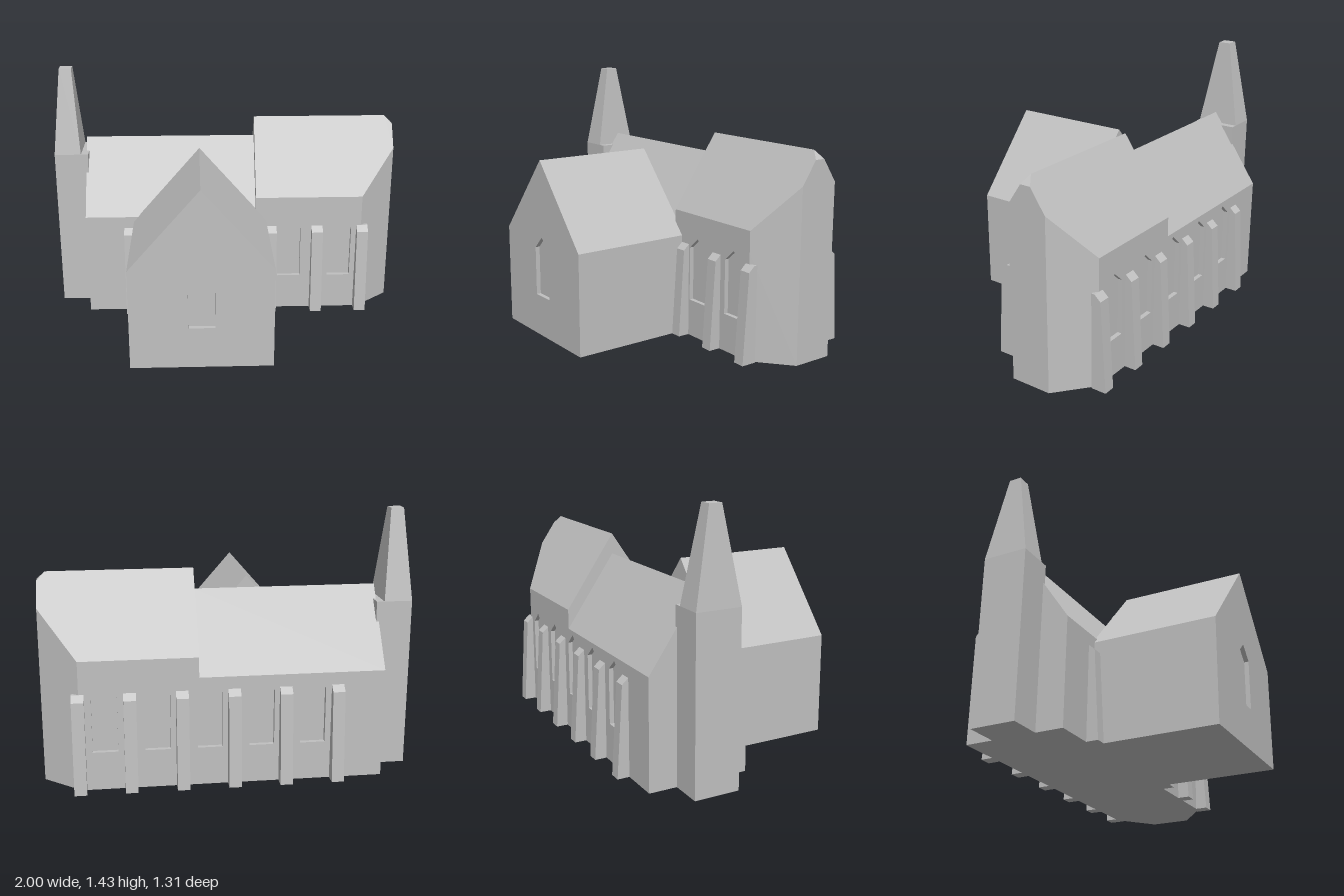
import * as THREE from 'three';
import { ConvexGeometry } from 'three/addons/geometries/ConvexGeometry.js';

export function createModel() {
  const model = new THREE.Group();
  model.name = 'church';
  const stone = new THREE.MeshStandardMaterial({ color: 0xc0c0c0 });
  stone.name = 'stone';

  const MID = -0.31;      // z of the nave axis
  const HALF = 0.28;      // half width of the nave
  const RECESS = 0.025;   // depth of the window niches
  const BAND = 0.59;      // height of the window storey
  const WEST = -0.82, STEP = 0.175, APSE = 0.8;

  const add = (name, geometry, x = 0, y = 0, z = 0) => {
    const mesh = new THREE.Mesh(geometry, stone);
    mesh.name = name;
    mesh.position.set(x, y, z);
    model.add(mesh);
    return mesh;
  };
  const polygon = (points) => new THREE.Shape(points.map(([x, y]) => new THREE.Vector2(x, y)));
  const extrude = (shape, depth) =>
    new THREE.ExtrudeGeometry(shape, { depth, bevelEnabled: false });
  // Pointed window outline, used as a hole
  const windowHole = (x, sill, spring, apex, half = 0.067) => polygon([
    [x - half, sill], [x - half, spring], [x, apex], [x + half, spring], [x + half, sill],
  ]);
  const convex = (points) =>
    new ConvexGeometry(points.map((p) => new THREE.Vector3(...p)));
  const mirrored = (x, y, z) => [[x, y, z], [x, y, -z]];

  // Lower storey: plan with walls set back behind the window panels
  const inner = HALF - RECESS, end = 0.115;
  const plan = polygon([
    [WEST, -inner], [APSE, -inner], [APSE, -HALF], [1, -end],
    [1, end], [APSE, HALF], [APSE, inner], [WEST, inner],
  ]);
  add('lowerWalls', extrude(plan, BAND).rotateX(-Math.PI / 2), 0, 0, MID);

  // Side walls pierced by window niches
  const sideWall = (name, windows, z) => {
    const wall = polygon([[WEST, 0], [APSE, 0], [APSE, BAND], [WEST, BAND]]);
    wall.holes = windows.map((x) => windowHole(x, 0.21, 0.515, 0.575));
    add(name, extrude(wall, RECESS), 0, 0, z);
  };
  sideWall('frontWindowWall', [0.375, 0.675], MID + inner);
  sideWall('backWindowWall', [0, 1, 2, 3, 4].map((i) => 0.67 - i * 0.276), MID - HALF);

  // Nave roof
  const naveEave = 0.6, naveRidge = 1.01;
  add('naveRoof', convex([WEST, STEP].flatMap((x) => [
    ...mirrored(x, BAND, HALF), ...mirrored(x, naveEave, HALF), [x, naveRidge, 0],
  ])), 0, 0, MID);

  // Taller choir roof, cut back by the slanting apse walls and a small hip
  const eave = 0.71, ridge = 1.125;
  const roofY = (z) => ridge - (ridge - eave) * z / HALF;
  add('choirRoof', convex([
    ...[STEP, APSE].flatMap((x) => [...mirrored(x, BAND, HALF), ...mirrored(x, eave, HALF)]),
    [STEP, ridge, 0], [0.955, ridge, 0],
    ...mirrored(1, BAND, end), ...mirrored(1, roofY(end), end), ...mirrored(1, roofY(0.03), 0.03),
  ]), 0, 0, MID);

  // Transept with gabled front and a window niche
  const gable = () => polygon([
    [-0.54, 0], [0.235, 0], [0.235, 0.57], [-0.1525, 1.015], [-0.54, 0.57],
  ]);
  const front = 0.655, back = -0.045;
  add('transept', extrude(gable(), front - RECESS - back), 0, 0, back);
  const facade = gable();
  facade.holes.push(windowHole(-0.1525, 0.235, 0.51, 0.58, 0.072));
  add('transeptFacade', extrude(facade, RECESS), 0, 0, front - RECESS);

  // Buttresses with battered faces and sloping caps
  const buttressWidth = 0.066;
  const buttress = extrude(polygon([
    [-0.02, 0], [0.067, 0], [0.035, 0.5], [0, 0.532], [-0.02, 0.532],
  ]), buttressWidth).translate(0, 0, -buttressWidth / 2);
  const centres = [-0.565, -0.285, -0.01, 0.265, 0.538, 0.805];
  centres.forEach((x, i) => {
    add('backButtress', buttress, x, 0, MID - HALF).rotation.y = Math.PI / 2;
    if (i === 0 || i > 2) {
      add('frontButtress', buttress, x, 0, MID + HALF).rotation.y = -Math.PI / 2;
    }
  });

  // Bell tower and its blunt spire
  const towerTop = 0.937, spireTop = 1.43;
  add('tower', new THREE.BoxGeometry(0.195, towerTop, 0.25), -0.9025, towerTop / 2, MID);
  add('spire', convex([
    ...mirrored(-1, towerTop, 0.125), ...mirrored(-0.847, towerTop, 0.125),
    ...mirrored(-0.957, spireTop, 0.035), ...mirrored(-0.887, spireTop, 0.035),
  ]), 0, 0, MID);

  return model;
}
